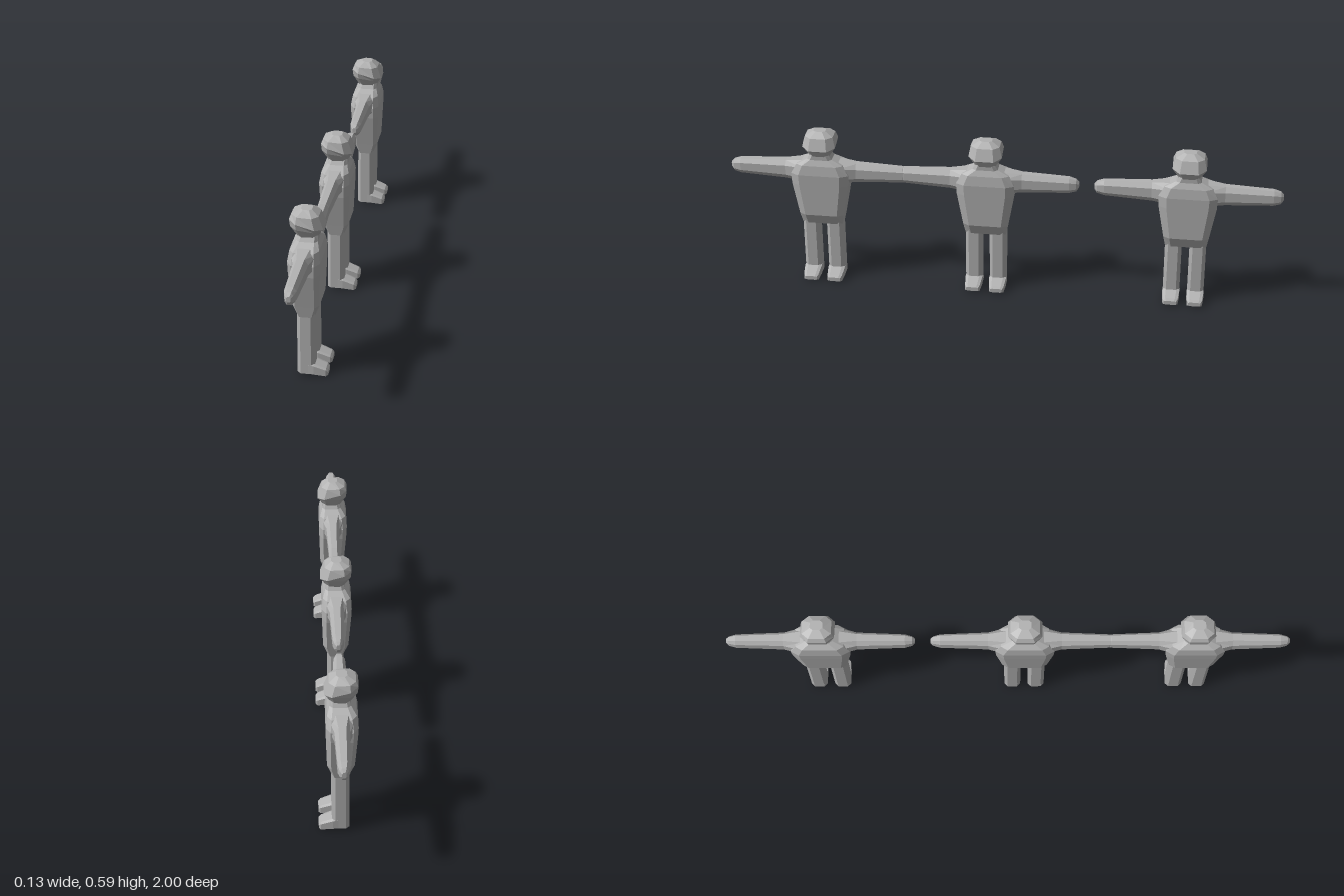
import * as THREE from 'three';

const grey = new THREE.MeshStandardMaterial({ color: 0xb2b2b2, flatShading: true });
grey.name = 'plain grey';

// Bevelled eight-sided ring spanning [a0,a1] x [b0,b1]; fa, fb set the flat share of each side
function ring(a0, a1, b0, b1, place, fa = 0.7, fb = 0.7) {
  const ca = (a0 + a1) / 2, cb = (b0 + b1) / 2, ha = (a1 - a0) / 2, hb = (b1 - b0) / 2;
  return [[1, fb], [fa, 1], [-fa, 1], [-1, fb], [-1, -fb], [-fa, -1], [fa, -1], [1, -fb]]
    .map(([u, v]) => place(ca + u * ha, cb + v * hb));
}

// Closed skin over a row of rings, always facing outwards
function loft(name, rings) {
  const tris = [], n = rings[0].length;
  for (let i = 0; i < rings.length - 1; i++) {
    for (let j = 0; j < n; j++) {
      const k = (j + 1) % n, a = rings[i], b = rings[i + 1];
      tris.push([a[j], b[j], b[k]], [a[j], b[k], a[k]]);
    }
  }
  const first = rings[0], last = rings[rings.length - 1];
  for (let j = 1; j < n - 1; j++) {
    tris.push([first[0], first[j], first[j + 1]], [last[0], last[j + 1], last[j]]);
  }
  let volume = 0;
  for (const [a, b, c] of tris) volume += a.dot(b.clone().cross(c));
  if (volume < 0) tris.forEach(t => t.reverse());
  const geometry = new THREE.BufferGeometry().setFromPoints(tris.flat());
  geometry.computeVertexNormals();
  const mesh = new THREE.Mesh(geometry, grey);
  mesh.name = name;
  return mesh;
}

// One person facing +x with the arms spread along z
function person() {
  const figure = new THREE.Group();
  const level = (y, tilt = 0) => (x, z) => new THREE.Vector3(x, y + tilt * (x + 0.012), z);

  // Torso with sloping shoulders and neck: y, back, front, half width
  figure.add(loft('torso', [
    [0.222, -0.038, 0.021, 0.074],
    [0.262, -0.055, 0.037, 0.081],
    [0.385, -0.064, 0.041, 0.103],
    [0.425, -0.066, 0.042, 0.105],
    [0.462, -0.06, 0.037, 0.085],
    [0.483, -0.042, 0.028, 0.045],
    [0.505, -0.036, 0.028, 0.032],
  ].map(([y, x0, x1, w]) => ring(x0, x1, -w, w, level(y), 0.7, 0.72))));

  // Head, leaning forward: y, back, front, half width, tilt
  figure.add(loft('head', [
    [0.49, -0.037, 0.026, 0.034, 0.1],
    [0.525, -0.063, 0.04, 0.054, -0.1],
    [0.542, -0.066, 0.046, 0.06, -0.28],
    [0.571, -0.058, 0.03, 0.051, -0.05],
    [0.587, -0.03, 0.006, 0.022, 0],
  ].map(([y, x0, x1, w, t]) => ring(x0, x1, -w, w, level(y, t), 0.55, 0.55))));

  for (const [side, s] of [['right', 1], ['left', -1]]) {
    // Arm: reach, back, front, bottom, top
    figure.add(loft(side + 'Arm', [
      [0.06, -0.056, 0.032, 0.385, 0.472],
      [0.13, -0.037, 0.014, 0.392, 0.464],
      [0.3, -0.032, 0.008, 0.4, 0.457],
      [0.325, -0.026, 0.002, 0.406, 0.45],
      [0.335, -0.019, -0.005, 0.42, 0.44],
    ].map(([r, x0, x1, y0, y1]) =>
      ring(x0, x1, y0, y1, (x, y) => new THREE.Vector3(x, y, s * r), 0.5, 0.5))));

    // Leg
    const c = s * 0.044;
    figure.add(loft(side + 'Leg', [0.008, 0.24].map(y =>
      ring(-0.038, 0.021, c - 0.03, c + 0.03, level(y), 0.6, 0.6))));

    // Foot: x, bottom, top, half width
    figure.add(loft(side + 'Foot', [
      [-0.037, 0.01, 0.03, 0.02],
      [-0.02, 0.006, 0.05, 0.029],
      [0.018, 0.004, 0.043, 0.031],
      [0.058, 0, 0.027, 0.027],
      [0.065, 0.004, 0.019, 0.022],
    ].map(([x, y0, y1, w]) =>
      ring(y0, y1, c - w, c + w, (y, z) => new THREE.Vector3(x, y, z), 0.8, 0.65))));
  }
  return figure;
}

export function createModel() {
  const model = new THREE.Group();
  model.name = 'rowOfFigures';
  [0.665, 0.06, -0.665].forEach((z, i) => {
    const figure = person();
    figure.name = 'figure' + (i + 1);
    figure.position.z = z;
    model.add(figure);
  });
  return model;
}
